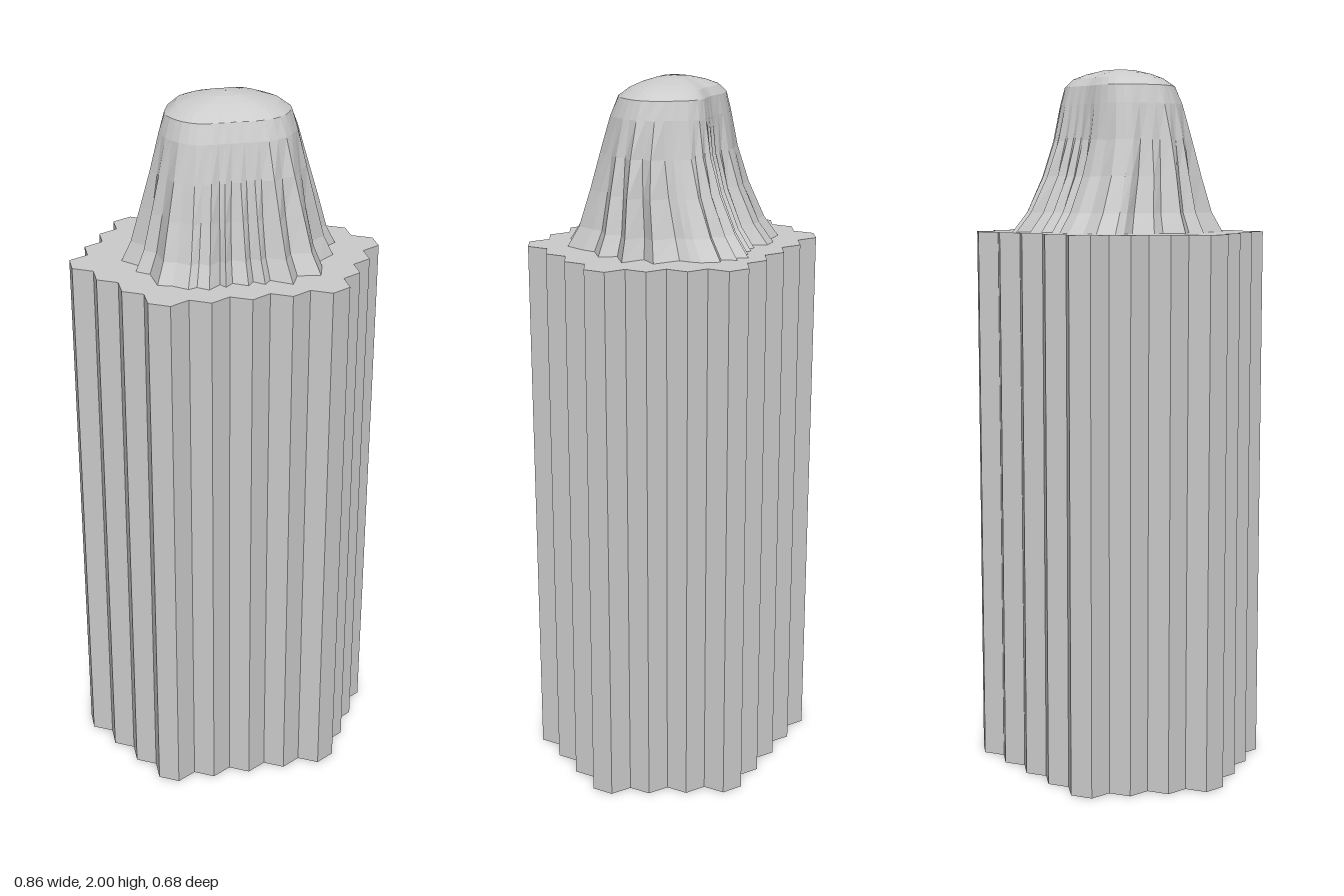
import * as THREE from 'three';
import { mergeGeometries } from 'three/addons/utils/BufferGeometryUtils.js';

const TOP = 1.545;     // height of the hexagonal columns
const PITCH = 0.1075;  // spacing between columns
const R = PITCH / Math.sqrt(3);

// Cluster of hollow hexagonal columns, open below and capped on top
function columns() {
  const parts = [];
  [5, 6, 7, 8, 7, 6, 5].forEach((count, row) => {
    for (let i = 0; i < count; i++) {
      const x = (i - (count - 1) / 2) * PITCH;
      const z = (row - 3) * R * 1.5;
      parts.push(new THREE.CylinderGeometry(R, R, TOP, 6, 1, true).translate(x, TOP / 2, z));
      parts.push(new THREE.CircleGeometry(R, 6, Math.PI / 2).rotateX(-Math.PI / 2).translate(x, TOP, z));
    }
  });
  return mergeGeometries(parts);
}

// Foot outline of the fluted crown as x, z pairs: ridges and valleys, counterclockwise from above
const FOOT = [
  .316, -.016, .256, -.05, .289, -.097, .222, -.139, .222, -.173, .217, -.2, .185, -.242, .16, -.231,
  .145, -.272, .125, -.255, .106, -.286, .083, -.247, .067, -.266, .044, -.24, .028, -.256, .007, -.233,
  -.01, -.247, -.04, -.224, -.065, -.261, -.106, -.259, -.14, -.236, -.194, -.233, -.23, -.196, -.233, -.169,
  -.217, -.127, -.26, -.085, -.25, -.046, -.291, 0, -.25, .048, -.265, .088, -.231, .115, -.224, .196,
  -.187, .208, -.15, .24, -.125, .231, -.097, .254, -.062, .224, -.05, .245, -.028, .222, .01, .247,
  .028, .222, .055, .247, .074, .222, .127, .261, .152, .206, .215, .215, .235, .15, .238, .115,
  .286, .074, .26, .03,
];

// Crown levels: height, x scale, z scale, z shift
const LEVELS = [
  [TOP, 1, 1, 0], [1.6, .91, .86, .004], [1.7, .83, .72, .012], [1.8, .76, .63, .016],
  [1.9, .69, .56, .012], [1.95, .63, .5, .006], [1.972, .52, .41, 0], [1.985, .38, .3, 0],
  [1.996, .19, .16, 0], [2, .002, .002, 0],
];

function crown() {
  const n = FOOT.length / 2;
  const foot = Array.from({ length: n }, (_, i) => new THREE.Vector2(FOOT[2 * i], FOOT[2 * i + 1]));
  // softened outline that the flutes fade into near the top
  const soft = foot.map((_, i) => {
    const p = new THREE.Vector2();
    for (let k = -2; k <= 2; k++) p.addScaledVector(foot[(i + k + n) % n], [1, 2, 2, 2, 1][k + 2] / 8);
    return p;
  });
  const positions = [], index = [];
  LEVELS.forEach(([y, sx, sz, dz], j) => {
    const fade = THREE.MathUtils.smoothstep(y, 1.6, 1.98);
    for (let i = 0; i < n; i++) {
      const p = foot[i].clone().lerp(soft[i], fade);
      positions.push(p.x * sx, y, p.y * sz + dz);
      if (j === 0) continue;
      const a = (j - 1) * n + i, b = (j - 1) * n + (i + 1) % n;
      index.push(a, b, b + n, a, b + n, a + n);
    }
  });
  const geometry = new THREE.BufferGeometry();
  geometry.setAttribute('position', new THREE.Float32BufferAttribute(positions, 3));
  geometry.setIndex(index);
  geometry.computeVertexNormals();
  return geometry;
}

export function createModel() {
  const group = new THREE.Group();
  const material = new THREE.MeshStandardMaterial({ color: 0xcccccc, flatShading: true, side: THREE.DoubleSide });
  const add = (name, geometry) => {
    const mesh = new THREE.Mesh(geometry, material);
    mesh.name = name;
    group.add(mesh);
  };
  add('hexagonalColumns', columns());
  add('flutedCrown', crown());
  return group;
}
